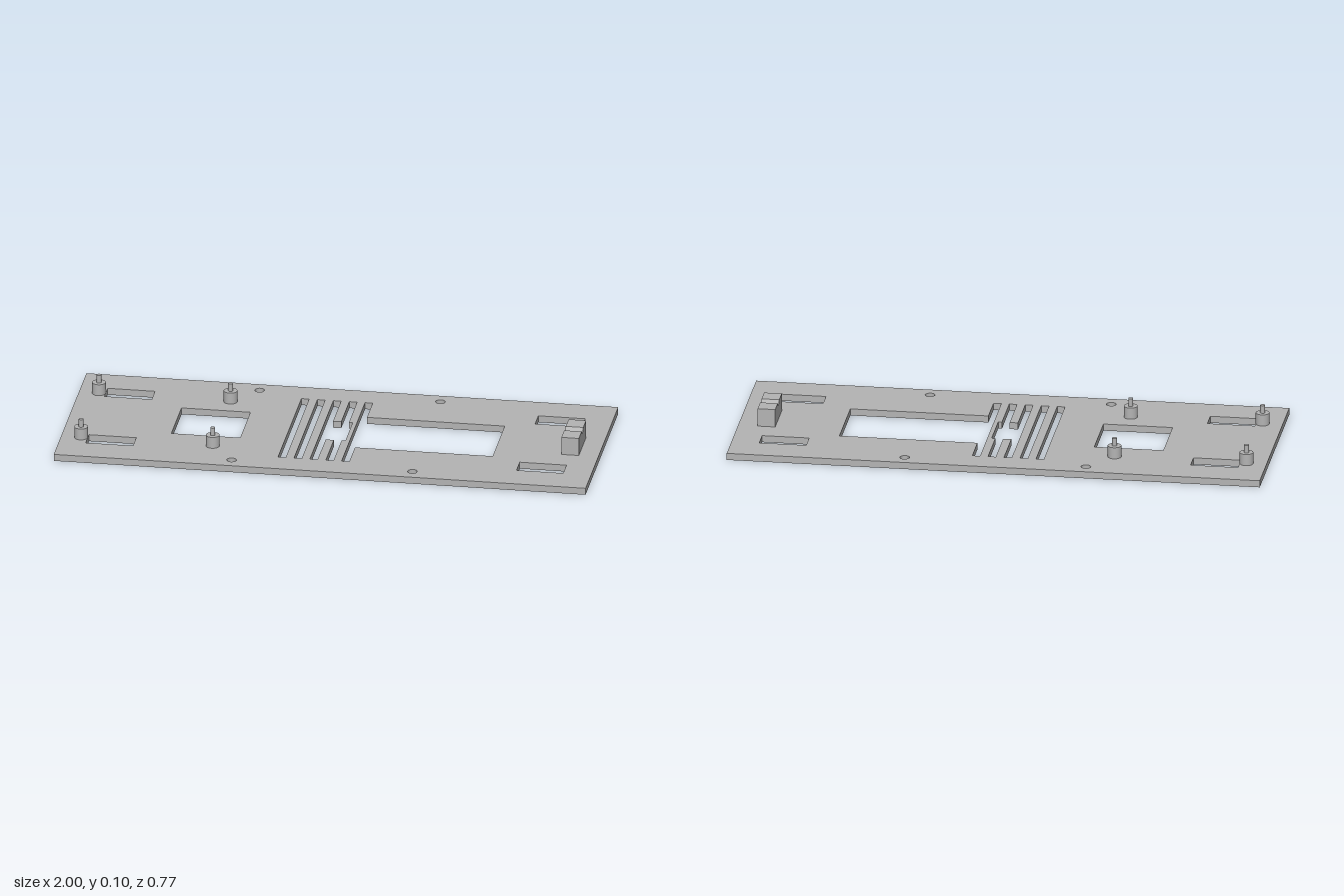
import * as THREE from 'three';

const THICK = 0.026;

// Closed path from corner points
function polygon(points) {
  return points.map(([x, y]) => new THREE.Vector2(x, y));
}

// Rectangle from x0 to x1 and y0 to y1
function rect(x0, x1, y0, y1) {
  return polygon([[x0, y0], [x1, y0], [x1, y1], [x0, y1]]);
}

export function createModel() {
  const model = new THREE.Group();
  model.name = 'mountingPlate';
  const grey = new THREE.MeshStandardMaterial({ color: 0xb4b4b4 });
  grey.name = 'grey';

  function add(name, geometry, x = 0, y = 0, z = 0, parent = model) {
    const mesh = new THREE.Mesh(geometry, grey);
    mesh.name = name;
    mesh.position.set(x, y, z);
    parent.add(mesh);
    return mesh;
  }

  // Base plate with its cut-outs
  const plate = new THREE.Shape(rect(-1, 1, -0.383, 0.383));
  const cut = (points) => plate.holes.push(new THREE.Path(points));

  // Corner strap slots and round screw holes
  for (const s of [-1, 1]) {
    const [y0, y1] = s > 0 ? [0.181, 0.257] : [-0.257, -0.181];
    cut(rect(-0.9, -0.722, y0, y1));
    cut(rect(0.72, 0.896, y0, y1));
    for (const x of [-0.34, 0.34]) {
      const hole = new THREE.Path();
      hole.absarc(x, s * 0.329, 0.018, 0, Math.PI * 2, true);
      plate.holes.push(hole);
    }
  }

  // Square window
  cut(rect(-0.6, -0.341, -0.12, 0.12));

  // Long vent slots
  const S = 0.276;
  cut(rect(-0.174, -0.145, -S, S));
  cut(rect(-0.114, -0.085, -S, S));

  // Two vent slots joined by a central notch
  cut(polygon([
    [-0.054, -S], [-0.025, -S], [-0.025, -0.086], [0.006, -0.086], [0.006, -S], [0.035, -S],
    [0.035, -0.086], [0.049, -0.086], [0.049, 0.086], [0.035, 0.086],
    [0.035, S], [0.006, S], [0.006, 0.086], [-0.025, 0.086], [-0.025, S], [-0.054, S],
  ]));

  // Last vent slot opening into the large window
  cut(polygon([
    [0.065, -S], [0.094, -S], [0.094, -0.142], [0.612, -0.142],
    [0.612, 0.142], [0.094, 0.142], [0.094, S], [0.065, S],
  ]));

  const plateGeometry = new THREE.ExtrudeGeometry(plate, {
    depth: THICK, bevelEnabled: false, curveSegments: 24,
  });
  plateGeometry.rotateX(-Math.PI / 2);
  add('basePlate', plateGeometry);

  // Stepped standoffs
  const bossGeometry = new THREE.CylinderGeometry(0.0255, 0.0255, 0.044, 32);
  const pinGeometry = new THREE.CylinderGeometry(0.009, 0.009, 0.03, 24);
  for (const x of [-0.925, -0.43]) {
    for (const z of [-0.209, 0.209]) {
      const standoff = new THREE.Group();
      standoff.name = 'standoff';
      standoff.position.set(x, THICK, z);
      add('boss', bossGeometry, 0, 0.022, 0, standoff);
      add('pin', pinGeometry, 0, 0.059, 0, standoff);
      model.add(standoff);
    }
  }

  // Support block with a V groove
  const block = new THREE.Shape(polygon([
    [-0.085, 0], [0.085, 0], [0.085, 0.069], [0.019, 0.069],
    [0, 0.05], [-0.019, 0.069], [-0.085, 0.069],
  ]));
  const blockGeometry = new THREE.ExtrudeGeometry(block, { depth: 0.066, bevelEnabled: false });
  blockGeometry.rotateY(Math.PI / 2);
  add('grooveBlock', blockGeometry, 0.861, THICK, 0);

  return model;
}
